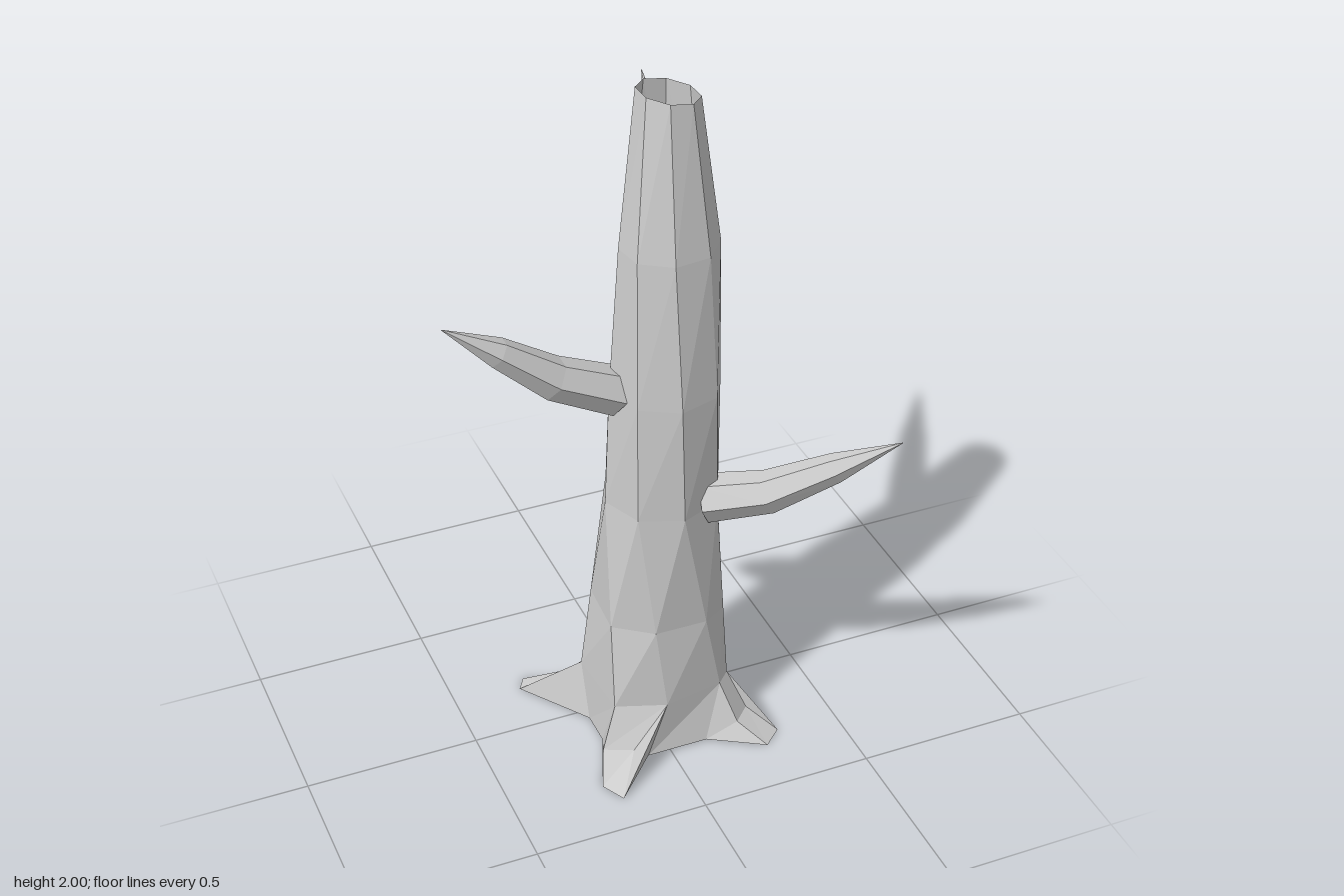
import * as THREE from 'three';

const material = new THREE.MeshStandardMaterial({ color: 0xcccccc, flatShading: true, side: THREE.DoubleSide });
const v = (x, y, z) => new THREE.Vector3(x, y, z);

// Collects quads (corners counter-clockwise from outside) into one flat-shaded mesh
function meshFromQuads(name, quads) {
  const points = quads.flatMap(([a, b, c, d]) => [a, b, c, a, c, d]);
  const geometry = new THREE.BufferGeometry().setFromPoints(points);
  geometry.computeVertexNormals();
  const mesh = new THREE.Mesh(geometry, material);
  mesh.name = name;
  return mesh;
}

// Quads joining a stack of closed rings
function loft(rings) {
  const quads = [];
  for (let k = 0; k + 1 < rings.length; k++) {
    const lo = rings[k], hi = rings[k + 1], n = lo.length;
    for (let i = 0; i < n; i++) {
      const j = (i + 1) % n;
      quads.push([lo[i], lo[j], hi[j], hi[i]]);
    }
  }
  return quads;
}

// Octagonal trunk section, turned about the vertical; tilt lowers its +x side
function octagon(y, cx, cz, rx, rz, turn, tilt = 0) {
  return Array.from({ length: 8 }, (_, i) => {
    const a = THREE.MathUtils.degToRad(i * 45 + turn);
    return v(cx + rx * Math.sin(a), y - tilt * (1 + Math.sin(a)), cz + rz * Math.cos(a));
  });
}

// Trunk foot and ground outline, counter-clockwise from the front
const foot = [[0.165, 0.22], [0.205, 0.18], [0.205, 0], [0.14, -0.05],
  [-0.09, -0.06], [-0.165, -0.02], [-0.15, 0.2], [-0.01, 0.25]].map(([x, z]) => v(x, 0.17, z));
const ground = [[0.11, 0.255], [0.2, 0.14], [0.2, 0.04], [0.09, -0.07],
  [-0.03, -0.08], [-0.165, 0.04], [-0.165, 0.14], [-0.07, 0.255]].map(([x, z]) => v(x, 0.005, z));

// Root bends and tips, in pairs matching the foot corners
const elbows = [[0.2, 0.27], [0.25, 0.22], [0.24, -0.05], [0.2, -0.11],
  [-0.16, -0.13], [-0.21, -0.08], [-0.2, 0.235], [-0.12, 0.27]].map(([x, z]) => v(x, 0.055, z));
const tips = [[0.265, 0.34], [0.32, 0.29], [0.32, -0.12], [0.29, -0.165],
  [-0.28, -0.205], [-0.305, -0.165], [-0.236, 0.32], [-0.2, 0.388]].map(([x, z]) => v(x, 0, z));

function createTrunk() {
  const waist = octagon(0.8, 0.037, 0.085, 0.165, 0.165, 0);
  const rings = [
    foot,
    foot.map((p, i) => p.clone().lerp(waist[i], 0.4).setY(0.42)),
    waist,
    octagon(1.15, 0.043, 0.092, 0.155, 0.158, -6),
    octagon(1.57, 0.052, 0.095, 0.135, 0.12, -14),
    octagon(2, 0.06, 0.06, 0.083, 0.085, -20, 0.015),
  ];
  const quads = loft(rings);
  // Wall between neighbouring roots
  for (let i = 1; i < 8; i += 2) {
    const j = (i + 1) % 8;
    quads.push([ground[i], ground[j], foot[j], foot[i]]);
  }
  return meshFromQuads('trunk', quads);
}

function createRoot(i) {
  const j = i + 1;
  return meshFromQuads('root', [
    [elbows[i], elbows[j], foot[j], foot[i]],
    [tips[i], tips[j], elbows[j], elbows[i]],
    [ground[i], tips[i], elbows[i], foot[i]],
    [tips[j], ground[j], foot[j], elbows[j]],
  ]);
}

// Tapered six-sided branch along four points, ending in a spike
function createBranch(name, path) {
  const points = path.map((p) => v(...p));
  const radii = [0.068, 0.06, 0.041, 0.001];
  const rings = points.map((p, k) => {
    const dir = points[Math.min(k + 1, 3)].clone().sub(points[Math.max(k - 1, 0)]).normalize();
    const side = v(0, 1, 0).cross(dir).normalize();
    const up = dir.clone().cross(side);
    return Array.from({ length: 6 }, (_, i) => {
      const a = (i * Math.PI) / 3;
      return p.clone().addScaledVector(side, radii[k] * Math.cos(a)).addScaledVector(up, radii[k] * Math.sin(a));
    });
  });
  const quads = loft(rings);
  // Flat inner end
  const b = rings[0];
  quads.push([b[3], b[2], b[1], b[0]], [b[0], b[5], b[4], b[3]]);
  return meshFromQuads(name, quads);
}

export function createModel() {
  const tree = new THREE.Group();
  tree.name = 'deadTree';
  tree.add(createTrunk());
  for (let i = 0; i < 8; i += 2) tree.add(createRoot(i));
  tree.add(
    createBranch('leftBranch', [[0.125, 0.81, 0.185], [0.27, 0.85, 0.275], [0.42, 0.95, 0.37], [0.565, 1.05, 0.462]]),
    createBranch('rightBranch', [[-0.09, 1.15, 0.083], [-0.27, 1.235, 0.083], [-0.42, 1.35, 0.083], [-0.565, 1.452, 0.083]]),
    createBranch('backBranch', [[0.12, 1.415, -0.015], [0.168, 1.485, -0.16], [0.19, 1.61, -0.3], [0.207, 1.782, -0.463]]),
  );
  return tree;
}
